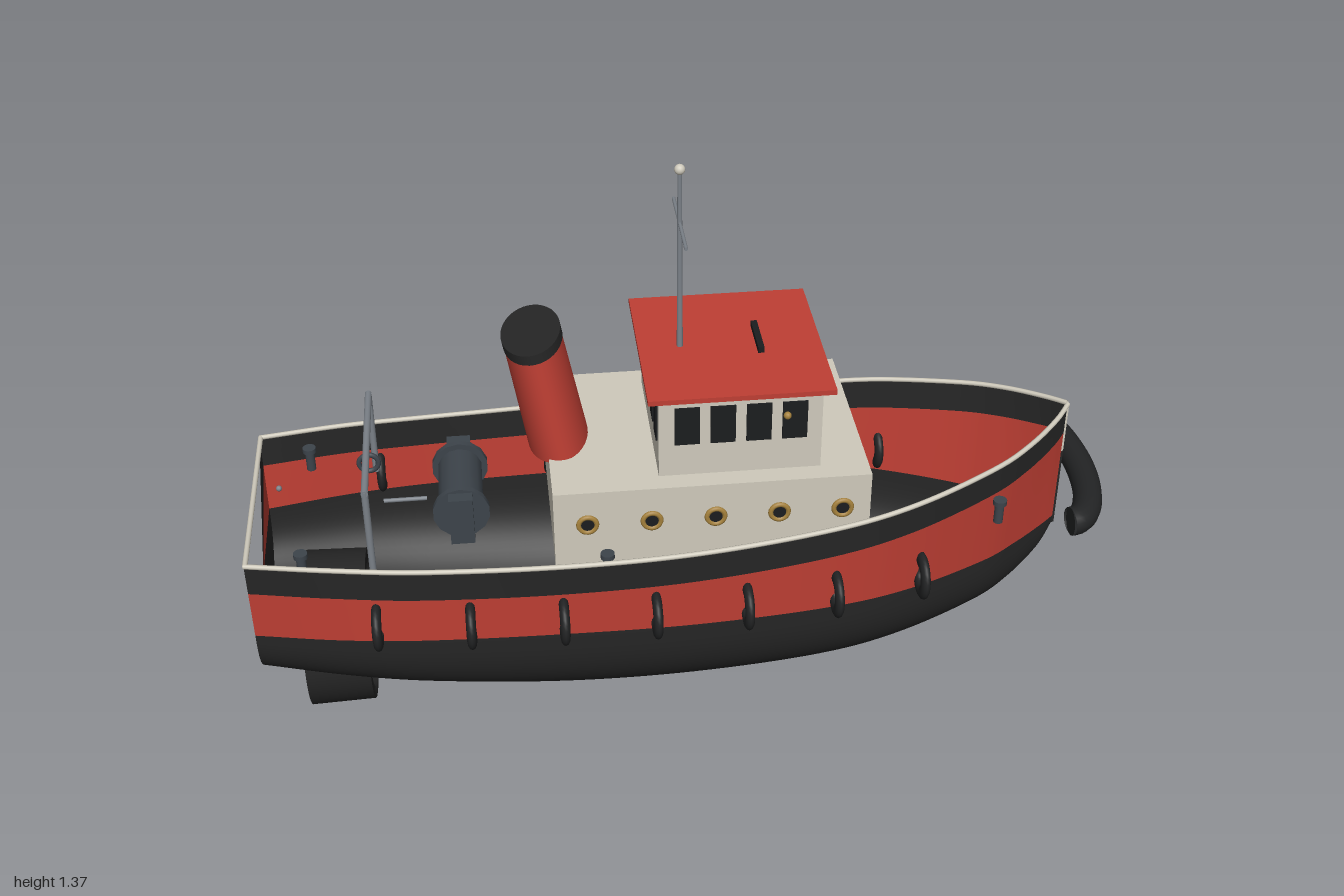
import * as THREE from 'three';

const mat = (name, color) => {
  const m = new THREE.MeshStandardMaterial({ color, side: THREE.DoubleSide });
  m.name = name;
  return m;
};
const V = (x, y, z) => new THREE.Vector3(x, y, z);

// Hull stations: x, half beam at sheer, half beam at waterline, keel height, sheer height
const STATIONS = [
  [-1, 0.255, 0.245, 0.195, 0.58], [-0.8, 0.29, 0.285, 0.16, 0.577], [-0.6, 0.312, 0.308, 0.13, 0.572],
  [-0.3, 0.328, 0.32, 0.102, 0.573], [0, 0.328, 0.32, 0.1, 0.583], [0.3, 0.305, 0.295, 0.112, 0.605],
  [0.5, 0.268, 0.25, 0.137, 0.63], [0.7, 0.188, 0.165, 0.18, 0.658], [0.8, 0.125, 0.1, 0.22, 0.675],
  [0.88, 0.052, 0.038, 0.285, 0.69], [0.92, 0.003, 0.003, 0.355, 0.7],
];
const WATER = 0.375, BAND = 0.08;
const topCurve = new THREE.CatmullRomCurve3(STATIONS.map(s => V(s[0], s[1], s[4])), false, 'catmullrom', 0.5);
const lowCurve = new THREE.CatmullRomCurve3(STATIONS.map(s => V(s[0], s[2], s[3])), false, 'catmullrom', 0.5);
function station(t) {
  const a = topCurve.getPoint(t), b = lowCurve.getPoint(t);
  return { x: a.x, beam: a.y, sheer: a.z, water: b.y, keel: b.z };
}
function stationAt(x) {
  let lo = 0, hi = 1;
  for (let i = 0; i < 24; i++) {
    const m = (lo + hi) / 2;
    if (station(m).x < x) lo = m; else hi = m;
  }
  return station(lo);
}
// Underwater section, u from -1 (one side) through 0 (keel) to 1
function bottomPoint(s, u) {
  const a = Math.abs(u) * Math.PI / 2;
  return [Math.sign(u) * s.water * Math.sin(a) ** 0.8, WATER - (WATER - s.keel) * Math.max(0, Math.cos(a)) ** 0.8];
}
// Side section, v from 0 (waterline) to 1 (sheer)
function sidePoint(s, v) {
  return [s.water + (s.beam - s.water) * v, WATER + (s.sheer - WATER) * v];
}
const bandStart = s => 1 - BAND / (s.sheer - WATER);

// Surface lofted along the hull; section(s, v) returns [z, y] for v in 0..1
function loft(section, rows, cols = 80) {
  const pos = [], idx = [];
  for (let i = 0; i <= cols; i++) {
    const s = station(i / cols);
    for (let j = 0; j <= rows; j++) {
      const [z, y] = section(s, j / rows);
      pos.push(s.x, y, z);
      if (i < cols && j < rows) {
        const a = i * (rows + 1) + j, b = a + rows + 1;
        idx.push(a, a + 1, b, b, a + 1, b + 1);
      }
    }
  }
  const g = new THREE.BufferGeometry();
  g.setAttribute('position', new THREE.Float32BufferAttribute(pos, 3));
  g.setIndex(idx);
  g.computeVertexNormals();
  return g;
}

export function createModel() {
  const root = new THREE.Group();
  root.name = 'tugboat';
  const black = mat('hull black', 0x262626), red = mat('red paint', 0xbf3f34), cream = mat('cream paint', 0xcfcabc);
  const rubber = mat('rubber', 0x232425), glass = mat('dark glass', 0x1b1d1f), steel = mat('steel', 0x7b8188);
  const iron = mat('winch iron', 0x3d444b), brass = mat('brass', 0xa5813c);

  const add = (name, geo, m, x = 0, y = 0, z = 0) => {
    const mesh = new THREE.Mesh(geo, m);
    mesh.name = name;
    mesh.position.set(x, y, z);
    root.add(mesh);
    return mesh;
  };
  const box = (name, m, w, h, d, x, y, z) => add(name, new THREE.BoxGeometry(w, h, d), m, x, y, z);
  const rod = (name, m, a, b, r, r2 = r) => {
    const dir = b.clone().sub(a), mid = a.clone().add(b).multiplyScalar(0.5);
    const mesh = add(name, new THREE.CylinderGeometry(r2, r, dir.length(), 14), m, mid.x, mid.y, mid.z);
    mesh.quaternion.setFromUnitVectors(V(0, 1, 0), dir.normalize());
    return mesh;
  };
  const SIDES = [1, -1];

  // Hull: rounded bottom, red topsides, black sheer band
  add('hullBottom', loft((s, v) => bottomPoint(s, v * 2 - 1), 40), black);
  for (const k of SIDES) {
    add('redTopside', loft((s, v) => {
      const [z, y] = sidePoint(s, v * bandStart(s));
      return [k * z, y];
    }, 4), red);
    add('sheerBand', loft((s, v) => {
      const f = bandStart(s), [z, y] = sidePoint(s, f + (1 - f) * v);
      return [k * z, y];
    }, 2), black);
    // Cap rail
    const pts = [];
    for (let i = 0; i <= 40; i++) {
      const s = station(i / 40);
      pts.push(V(s.x, s.sheer, k * s.beam));
    }
    add('capRail', new THREE.TubeGeometry(new THREE.CatmullRomCurve3(pts), 80, 0.006, 8), cream);
  }
  const stern = station(0);
  rod('sternRail', cream, V(-0.997, stern.sheer, -stern.beam), V(-0.997, stern.sheer, stern.beam), 0.006);

  // Transom with an open V notch
  const plate = (name, pts, m) => {
    const shape = new THREE.Shape(pts.map(p => new THREE.Vector2(p[0], p[1])));
    add(name, new THREE.ShapeGeometry(shape), m, -1, 0, 0).rotation.y = -Math.PI / 2;
  };
  const notch = [0, 0.36], bottom = [];
  for (let i = 0; i <= 32; i++) bottom.push(bottomPoint(stern, i / 16 - 1));
  plate('transomBottom', [...bottom, notch], black);
  for (const k of SIDES) {
    const at = v => { const [z, y] = sidePoint(stern, v); return [k * z, y]; };
    plate('transomRed', [notch, at(0), at(bandStart(stern))], red);
    plate('transomBand', [notch, at(bandStart(stern)), at(1)], black);
  }

  // Stem bar
  box('stemBar', black, 0.008, 0.21, 0.01, 0.919, 0.46, 0);
  box('stemCap', cream, 0.008, 0.135, 0.01, 0.919, 0.635, 0);

  // Bow fender: half ellipse
  const arc = [];
  for (let i = 0; i <= 24; i++) {
    const a = (i / 24 - 0.5) * Math.PI;
    arc.push(V(0.88 + 0.085 * Math.cos(a), 0.527, 0.232 * Math.sin(a)));
  }
  add('bowFender', new THREE.TubeGeometry(new THREE.CatmullRomCurve3(arc), 64, 0.034, 16), rubber);
  for (const k of SIDES) {
    add('bowFenderEnd', new THREE.CircleGeometry(0.034, 16), rubber, 0.88, 0.527, k * 0.232).rotation.y = -Math.PI / 2;
  }

  // Tyre fenders along both sides
  for (let i = 0; i < 7; i++) {
    const x = -0.72 + i * 0.208, z = stationAt(x).beam + 0.008;
    for (const k of SIDES) {
      const t = add('tyreFender', new THREE.TorusGeometry(0.039, 0.018, 12, 28), rubber, x, 0.428, k * z);
      t.rotation.y = Math.PI / 2;
      t.scale.z = 0.62;
    }
  }

  // Deckhouse with brass portholes
  box('deckhouse', cream, 0.715, 0.2, 0.495, 0.0425, 0.61, 0);
  for (let i = 0; i < 5; i++) for (const k of SIDES) {
    const x = -0.24 + i * 0.144;
    add('portholeRim', new THREE.TorusGeometry(0.02, 0.006, 8, 24), brass, x, 0.625, k * 0.249);
    const pane = add('portholeGlass', new THREE.CylinderGeometry(0.019, 0.019, 0.006, 20), glass, x, 0.625, k * 0.248);
    pane.rotation.x = Math.PI / 2;
  }

  // Wheelhouse, windows and roof
  box('wheelhouse', cream, 0.365, 0.205, 0.4, 0.1075, 0.8125, 0);
  for (const k of SIDES) {
    for (let i = 0; i < 4; i++) box('sideWindow', glass, 0.056, 0.095, 0.006, -0.012 + i * 0.08, 0.84, k * 0.201);
    for (let i = 0; i < 5; i++) box('endWindow', glass, 0.006, 0.097, 0.05, 0.1075 + k * 0.1835, 0.84, (i - 2) * 0.077);
    add('sideLight', new THREE.SphereGeometry(0.009, 12, 8), k > 0 ? brass : red, 0.21, 0.855, k * 0.207);
  }
  box('roof', red, 0.415, 0.012, 0.45, 0.1075, 0.919, 0);
  box('roofLightBar', glass, 0.014, 0.014, 0.12, 0.172, 0.937, 0);

  // Mast
  rod('mast', steel, V(-0.005, 0.92, 0), V(-0.005, 1.36, 0), 0.007, 0.005);
  rod('mastYard', steel, V(-0.005, 1.235, -0.12), V(-0.005, 1.235, 0.12), 0.004);
  add('mastLight', new THREE.SphereGeometry(0.012, 16, 12), cream, -0.005, 1.363, 0);

  // Raked oval funnel
  const funnel = new THREE.Group();
  funnel.name = 'funnel';
  funnel.position.set(-0.288, 0.705, 0);
  funnel.rotation.z = 0.18;
  funnel.scale.z = 1.62;
  const stack = add('funnelStack', new THREE.CylinderGeometry(0.066, 0.07, 0.27, 36), red, 0, 0.135, 0);
  const cap = add('funnelCap', new THREE.CylinderGeometry(0.068, 0.068, 0.024, 36), black, 0, 0.276, 0);
  funnel.add(stack, cap);
  root.add(funnel);

  // Towing winch
  rod('winchDrum', iron, V(-0.52, 0.572, -0.095), V(-0.52, 0.572, 0.095), 0.052);
  for (const k of SIDES) {
    rod('winchFlange', iron, V(-0.52, 0.572, k * 0.085), V(-0.52, 0.572, k * 0.1), 0.066);
    box('winchBracket', iron, 0.055, 0.12, 0.03, -0.52, 0.57, k * 0.118);
  }

  // Towing frame with hook
  for (const k of SIDES) rod('towFramePost', steel, V(-0.725, 0.5, k * 0.2), V(-0.725, 0.722, k * 0.2), 0.008);
  rod('towFrameBar', steel, V(-0.725, 0.718, -0.207), V(-0.725, 0.718, 0.207), 0.008);
  rod('towRod', steel, V(-0.7, 0.55, 0), V(-0.6, 0.55, 0), 0.005);
  add('towRing', new THREE.TorusGeometry(0.022, 0.006, 8, 24), iron, -0.725, 0.66, 0);

  // Bollards
  for (const [x, z] of [[-0.88, 0.21], [-0.2, 0.288], [0.72, 0.19]]) for (const k of SIDES) {
    rod('bollard', iron, V(x, 0.51, k * z), V(x, 0.562, k * z), 0.011);
    rod('bollardCap', iron, V(x, 0.56, k * z), V(x, 0.572, k * z), 0.016);
  }
  add('sternLight', new THREE.SphereGeometry(0.007, 10, 8), steel, -0.935, 0.605, 0);

  // Propeller nozzle, propeller and rudder
  const ring = [[0.183, -0.075], [0.187, 0.075], [0.163, 0.075], [0.155, -0.075], [0.183, -0.075]];
  const nozzle = new THREE.LatheGeometry(ring.map(p => new THREE.Vector2(p[0], p[1])), 48);
  add('propellerNozzle', nozzle, black, -0.835, 0.19, 0).rotation.z = Math.PI / 2;
  rod('propellerHub', brass, V(-0.88, 0.19, 0), V(-0.79, 0.19, 0), 0.025);
  for (let i = 0; i < 4; i++) {
    const a = i * Math.PI / 2;
    const blade = add('propellerBlade', new THREE.CylinderGeometry(0.016, 0.036, 0.13, 12), brass,
      -0.835, 0.19 + 0.075 * Math.cos(a), 0.075 * Math.sin(a));
    blade.rotation.x = a;
    blade.scale.x = 0.35;
  }
  box('rudder', red, 0.07, 0.23, 0.014, -0.95, 0.19, 0);
  return root;
}
